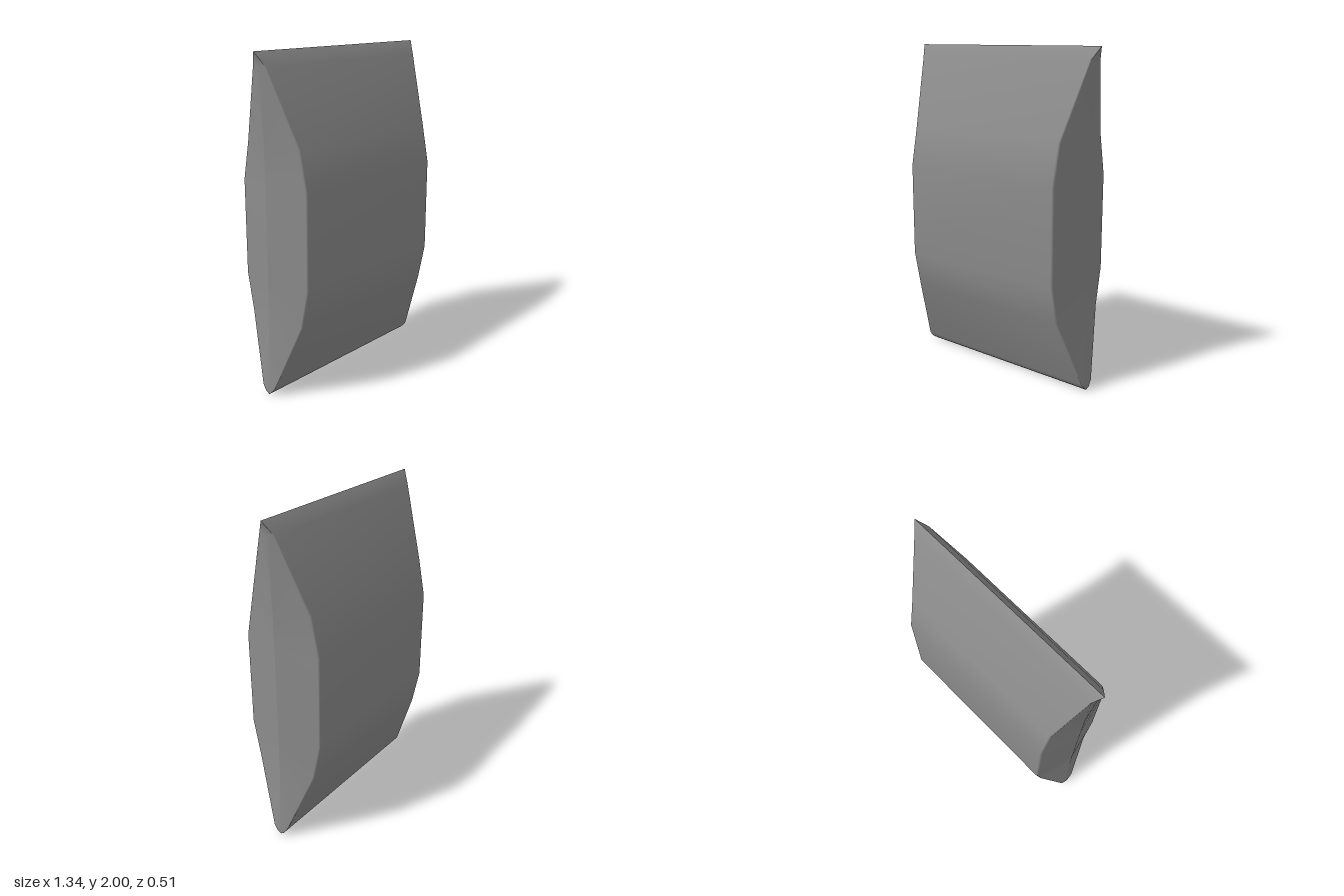
import * as THREE from 'three';

// Rows from bottom to top: height, half depth, half width at the panel edge, half width at the side crease
const ROWS = [
  [0, 0, 0.63, 0.63],
  [0.015, 0.022, 0.634, 0.636],
  [0.05, 0.05, 0.632, 0.635],
  [0.46, 0.207, 0.554, 0.615],
  [0.69, 0.255, 0.551, 0.613],
  [1.26, 0.255, 0.551, 0.613],
  [1.49, 0.207, 0.554, 0.615],
  [1.92, 0.05, 0.634, 0.636],
  [2, 0, 0.67, 0.67],
];
const BEVEL_STEPS = 3;

// Half cross-section from one side crease over the broad face to the other, with rounded corners
function halfSection([y, d, e, c]) {
  const b = Math.min(0.012, d * 0.12);
  const right = [];
  for (let i = BEVEL_STEPS; i >= 0; i--) {
    const a = (i / BEVEL_STEPS) * Math.PI / 2;
    right.push([e - b + b * Math.cos(a), d - b + b * Math.sin(a)]);
  }
  right.push([c, 0]);
  const left = right.map(([x, z]) => [-x, z]).reverse();
  return [...left, ...right].map(([x, z]) => [x, y, z]);
}

// Skin between the rows; diagonals mirror left to right and top to bottom
function halfShell() {
  const sections = ROWS.map(halfSection);
  const n = sections[0].length;
  const index = [];
  for (let i = 0; i + 1 < sections.length; i++) {
    const lower = i < (sections.length - 1) / 2;
    for (let j = 0; j + 1 < n; j++) {
      const a = i * n + j, b = a + 1, c = b + n, d = a + n;
      const onRight = j >= n / 2;
      if (onRight === lower) index.push(a, b, c, a, c, d);
      else index.push(a, b, d, b, c, d);
    }
  }
  const geometry = new THREE.BufferGeometry();
  geometry.setAttribute('position', new THREE.Float32BufferAttribute(sections.flat(2), 3));
  geometry.setIndex(index);
  geometry.computeVertexNormals();
  return geometry;
}

export function createModel() {
  const group = new THREE.Group();
  group.name = 'pouch';
  const geometry = halfShell();
  const material = new THREE.MeshStandardMaterial({ color: 0x8c8c8c });
  // Two matching halves meet at the sharp side creases and end seams
  ['frontHalf', 'backHalf'].forEach((name, i) => {
    const half = new THREE.Mesh(geometry, material);
    half.name = name;
    half.rotation.y = i * Math.PI;
    group.add(half);
  });
  return group;
}
